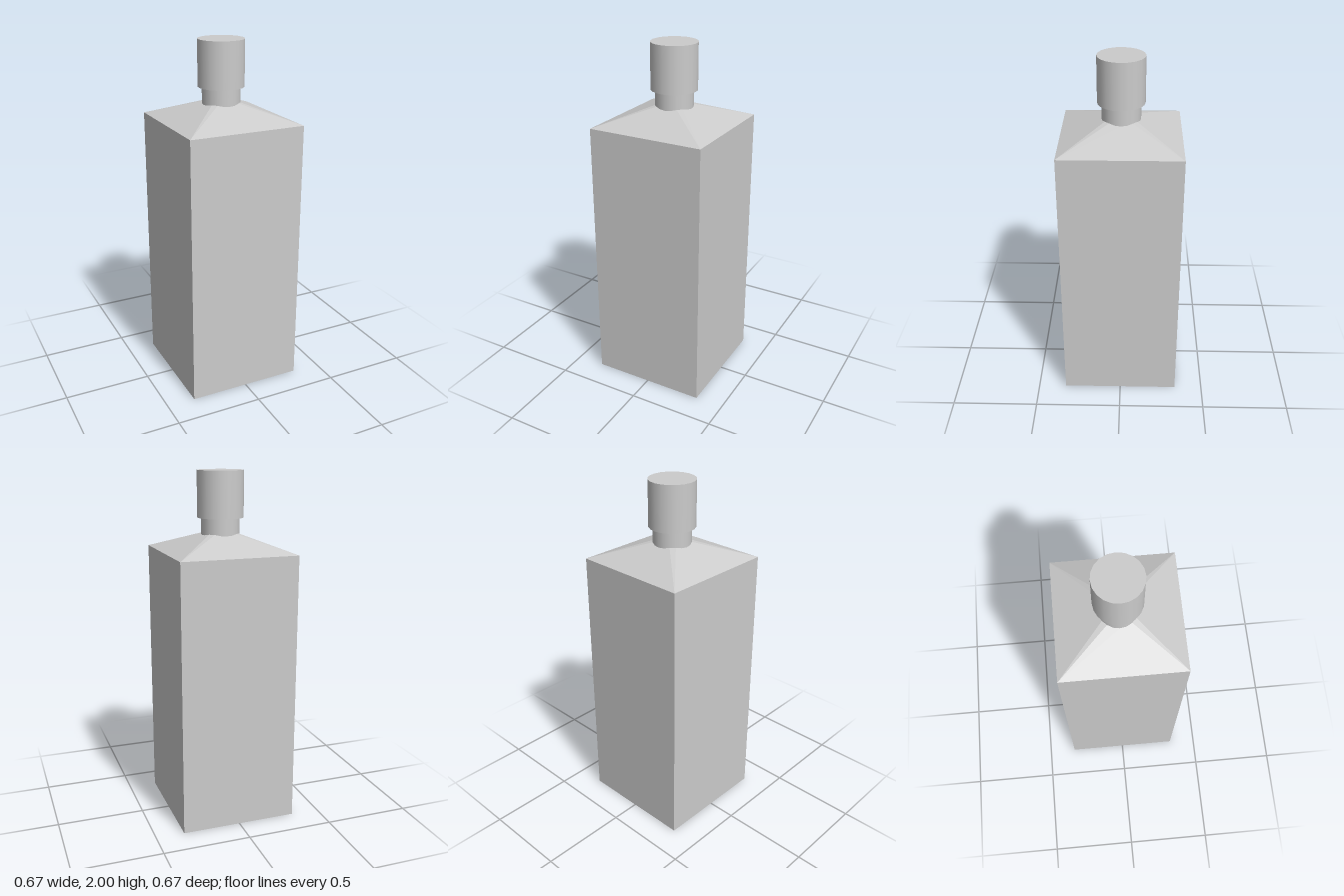
import * as THREE from 'three';

const SIDES = 20;
const HALF = 0.336;       // half width of the square body
const BODY_TOP = 1.555;
const NECK_R = 0.108;
const NECK_BASE = 1.645;
const CAP_BASE = 1.74;
const CAP_R = 0.131;

const material = new THREE.MeshStandardMaterial({ color: 0xcccccc });
const facetedMaterial = new THREE.MeshStandardMaterial({
  color: 0xcccccc, flatShading: true, side: THREE.DoubleSide,
});

// Sloping shoulder: four flat panels from the square body to the round neck,
// joined by a narrow triangle at each corner.
function shoulderGeometry() {
  const slope = (NECK_BASE - BODY_TOP) / (HALF - NECK_R);
  const ring = (i) => {
    const a = (i / SIDES) * Math.PI * 2;
    const x = NECK_R * Math.cos(a), z = NECK_R * Math.sin(a);
    return [x, BODY_TOP + slope * (HALF - Math.max(Math.abs(x), Math.abs(z))), z];
  };
  const corner = (q) => {
    const a = (q + 0.5) * Math.PI / 2;
    return [HALF * Math.SQRT2 * Math.cos(a), BODY_TOP, HALF * Math.SQRT2 * Math.sin(a)];
  };
  const points = [];
  for (let q = 0; q < 4; q++) {
    const mid = q * SIDES / 4;
    points.push(...ring(mid), ...corner(q), ...corner(q - 1)); // panel centre
    for (let k = 0; k < SIDES / 4; k++) {                      // fan around the corner
      points.push(...corner(q), ...ring(mid + k), ...ring(mid + k + 1));
    }
  }
  const geometry = new THREE.BufferGeometry();
  geometry.setAttribute('position', new THREE.Float32BufferAttribute(points, 3));
  geometry.computeVertexNormals();
  return geometry;
}

export function createModel() {
  const group = new THREE.Group();
  group.name = 'bottle';

  const add = (name, geometry, y, mat = material) => {
    const mesh = new THREE.Mesh(geometry, mat);
    mesh.name = name;
    mesh.position.y = y;
    group.add(mesh);
  };

  // Square body
  add('body', new THREE.BoxGeometry(HALF * 2, BODY_TOP, HALF * 2), BODY_TOP / 2);

  // Shoulder
  add('shoulder', shoulderGeometry(), 0, facetedMaterial);

  // Neck, sunk slightly into the shoulder
  const neckBottom = NECK_BASE - 0.01;
  add('neck', new THREE.CylinderGeometry(NECK_R, NECK_R, CAP_BASE - neckBottom, SIDES, 1, true),
    (CAP_BASE + neckBottom) / 2);

  // Cap
  add('cap', new THREE.CylinderGeometry(CAP_R, CAP_R, 2 - CAP_BASE, SIDES), (2 + CAP_BASE) / 2);

  return group;
}
